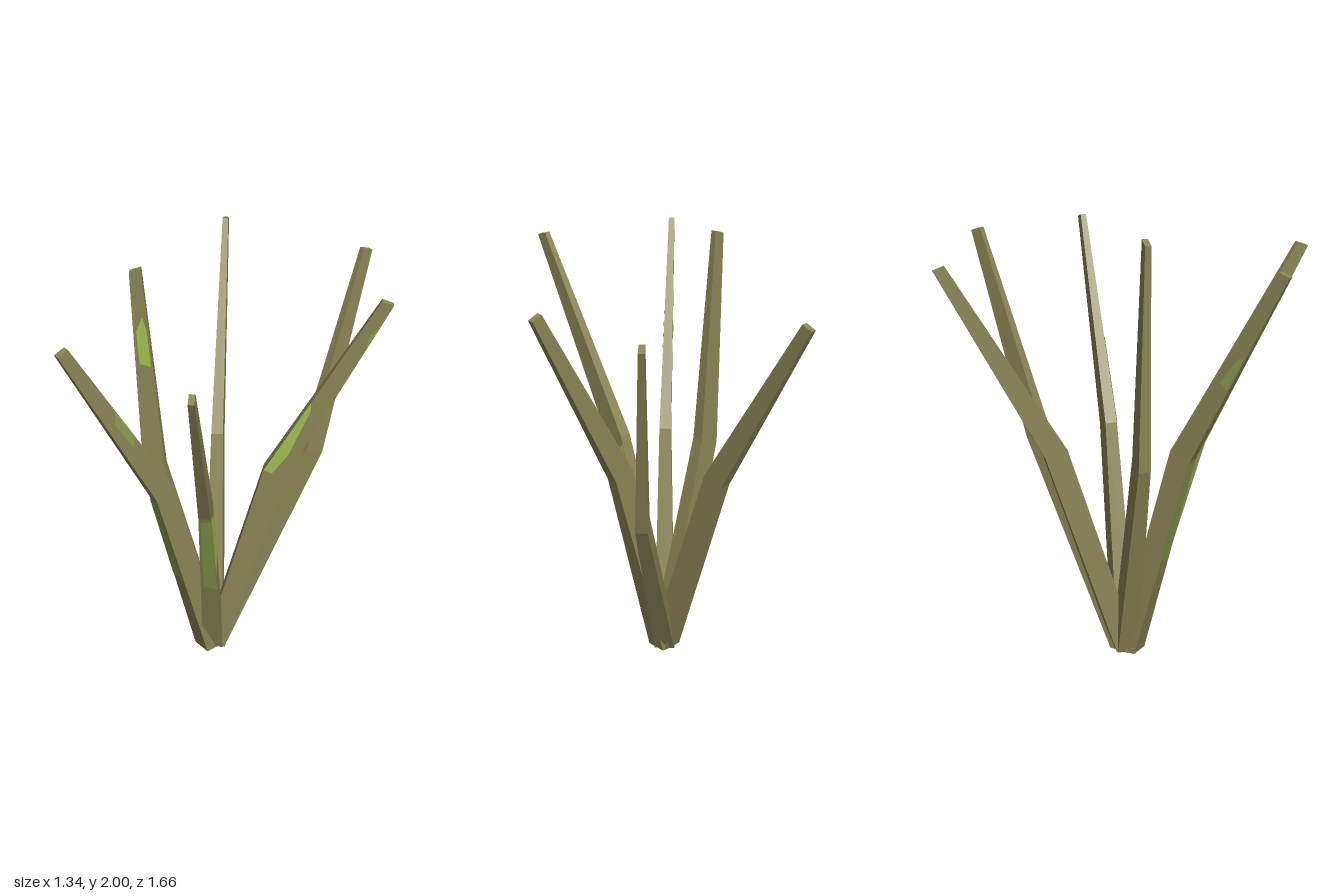
import * as THREE from 'three';

const bark = new THREE.MeshStandardMaterial({ color: 0x8a8555 });
bark.name = 'olive bark';
const moss = new THREE.MeshStandardMaterial({ color: 0xa2be52, side: THREE.DoubleSide });
moss.name = 'bright moss';
const deepMoss = new THREE.MeshStandardMaterial({ color: 0x8b9d4c, side: THREE.DoubleSide });
deepMoss.name = 'deep moss';

// Half sizes at base, bend and tip: radial, sideways, and the tilt of the ring
const SECTIONS = [
  { radial: 0.05, side: 0.047, tilt: 0 },
  { radial: 0.05, side: 0.027, tilt: 0.015 },
  { radial: 0.025, side: 0.013, tilt: 0.009 },
];

// Each stalk leans out along a heading; points are base, bend and tip centres.
// Moss outlines are [t, u]: t runs along base-bend-tip (0 to 2), u across a face.
// Faces: 0 inner, 1 side, 2 outer, 3 other side.
const STALKS = [
  { name: 'rightwardStalk', heading: [1, 0],
    points: [[-0.09, 0, 0], [0.185, 1.01, 0], [0.645, 1.88, 0]],
    moss: [
      { face: 3, mat: moss, outline: [[0.97, 1], [1, 0.6], [1.12, 0.45], [1.38, 0.75], [1.42, 1], [1, 1]] },
      { face: 3, mat: deepMoss, outline: [[1.75, 0], [1.82, 0.35], [1.9, 0]] },
    ] },
  { name: 'leftwardStalk', heading: [-1, 0],
    points: [[-0.1, 0, 0], [-0.355, 1.0, 0], [-0.412, 1.991, 0]],
    moss: [{ face: 1, mat: moss, outline: [[1.53, 0.1], [1.56, 0.75], [1.72, 0.8], [1.78, 0.3], [1.7, 0.1]] }] },
  { name: 'frontStalk', heading: [0, 1],
    points: [[-0.098, 0, 0], [-0.098, 1.0, 0.315], [-0.098, 1.865, 0.803]],
    moss: [
      { face: 1, mat: moss, outline: [[0.57, 1], [0.62, 0.45], [0.7, 0], [0.97, 0], [0.93, 0.4], [0.99, 0.75], [0.98, 1]] },
      { face: 2, mat: deepMoss, outline: [[0.48, 0], [0.5, 0.8], [0.98, 0.85], [0.98, 0]] },
    ] },
  { name: 'backStalk', heading: [0, -1],
    points: [[-0.098, 0, 0], [-0.098, 1.0, -0.32], [-0.098, 1.86, -0.803]], moss: [] },
  { name: 'backDiagonalStalk', heading: [0.75, -0.66],
    points: [[-0.1, 0, 0], [0.335, 0.93, -0.295], [0.55, 1.87, -0.515]], moss: [] },
  { name: 'frontDiagonalStalk', heading: [-0.72, 0.69],
    points: [[-0.115, 0, 0.02], [-0.3, 1.01, 0.205], [-0.645, 1.88, 0.515]],
    moss: [
      { face: 2, mat: deepMoss, outline: [[0.48, 0.1], [0.5, 1], [0.98, 1], [0.99, 0.1]] },
      { face: 1, mat: deepMoss, outline: [[1.35, 0.4], [1.4, 0], [1.58, 0], [1.52, 0.5]] },
      { face: 3, mat: deepMoss, outline: [[1.4, 0.1], [1.42, 0.6], [1.56, 0.4], [1.58, 0.1]] },
    ] },
];

// Four corners per ring: inner pair, then outer pair
function makeRings({ heading, points }) {
  const out = new THREE.Vector3(heading[0], 0, heading[1]).normalize();
  const side = new THREE.Vector3(0, 1, 0).cross(out);
  return points.map((p, i) => {
    const s = SECTIONS[i];
    return [[-1, -1], [-1, 1], [1, 1], [1, -1]].map(([r, w]) => {
      const corner = new THREE.Vector3(...p);
      corner.addScaledVector(out, r * s.radial).addScaledVector(side, w * s.side);
      corner.y -= r * s.tilt;
      return corner;
    });
  });
}

function facesToGeometry(triangles) {
  const geometry = new THREE.BufferGeometry().setFromPoints(triangles);
  geometry.computeVertexNormals();
  return geometry;
}

// Tapered, bent, four-sided prism with closed ends
function stalkGeometry(rings) {
  const tris = [];
  const quad = (a, b, c, d) => tris.push(a, b, c, a, c, d);
  for (let i = 0; i < rings.length - 1; i++) {
    for (let k = 0; k < 4; k++) {
      const n = (k + 1) % 4;
      quad(rings[i][k], rings[i + 1][k], rings[i + 1][n], rings[i][n]);
    }
  }
  const base = rings[0], tip = rings[rings.length - 1];
  quad(base[0], base[1], base[2], base[3]);
  quad(tip[0], tip[3], tip[2], tip[1]);
  return facesToGeometry(tris);
}

// Thin moss patch lying just above one face of a stalk segment
function mossGeometry(rings, { face, outline }) {
  const mid = outline.reduce((sum, p) => sum + p[0], 0) / outline.length;
  const seg = mid < 1 ? 0 : 1;
  const n = (face + 1) % 4;
  const [a, b, A, B] = [rings[seg][face], rings[seg][n], rings[seg + 1][face], rings[seg + 1][n]];
  const lift = A.clone().sub(a).cross(b.clone().sub(a)).normalize().multiplyScalar(0.002);
  // Orient outward: up the stalk crossed with the step to the next corner
  const pts = outline.map(([t, u]) => {
    const f = THREE.MathUtils.clamp(t - seg, 0, 1);
    return a.clone().lerp(A, f).lerp(b.clone().lerp(B, f), u).add(lift);
  });
  const flat = outline.map(([t, u]) => new THREE.Vector2(t * 10, u));
  const tris = [];
  for (const [i, j, k] of THREE.ShapeUtils.triangulateShape(flat, [])) {
    const normal = pts[j].clone().sub(pts[i]).cross(pts[k].clone().sub(pts[i]));
    tris.push(...(normal.dot(lift) > 0 ? [pts[i], pts[j], pts[k]] : [pts[i], pts[k], pts[j]]));
  }
  return facesToGeometry(tris);
}

export function createModel() {
  const model = new THREE.Group();
  model.name = 'stalkCluster';
  for (const stalk of STALKS) {
    const group = new THREE.Group();
    group.name = stalk.name;
    const rings = makeRings(stalk);
    const stem = new THREE.Mesh(stalkGeometry(rings), bark);
    stem.name = 'stem';
    group.add(stem);
    for (const patch of stalk.moss) {
      const mesh = new THREE.Mesh(mossGeometry(rings, patch), patch.mat);
      mesh.name = 'mossPatch';
      group.add(mesh);
    }
    model.add(group);
  }
  return model;
}
